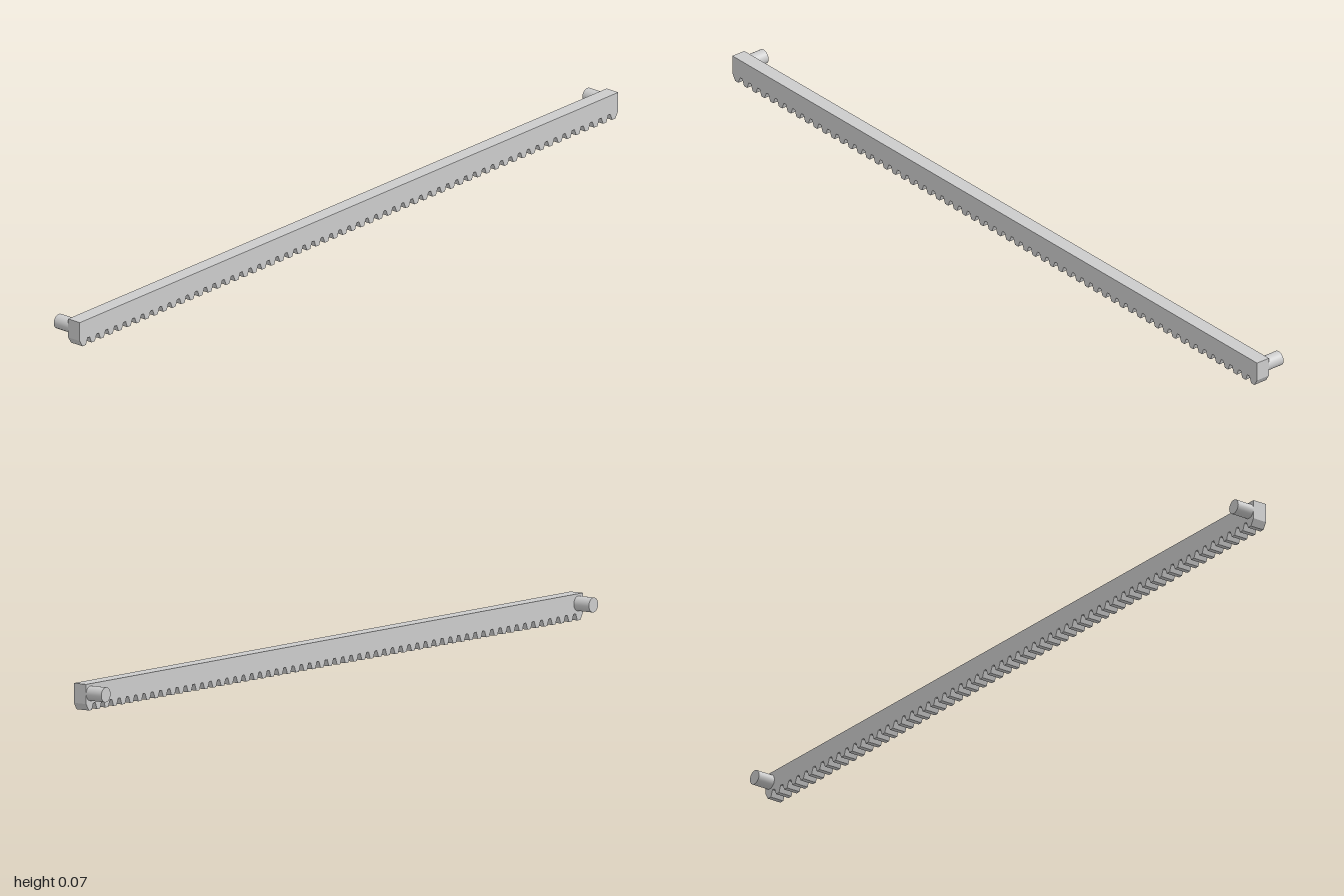
import * as THREE from 'three';

const TEETH = 60, PITCH = 2 / TEETH;
const TOP = 0.066, ROOT = 0.017;
const BACK = 0.005, FRONT = 0.043;
const PEG_R = 0.0185, PEG_Y = 0.042, PEG_END = -0.042;

export function createModel() {
  const group = new THREE.Group();
  const material = new THREE.MeshStandardMaterial({ color: 0xcccccc });

  // Toothed bar: side profile with trapezoid teeth along the underside
  const profile = new THREE.Shape();
  profile.moveTo(-1, TOP);
  profile.lineTo(-1, ROOT);
  for (let i = 0; i < TEETH; i++) {
    const x = -1 + i * PITCH;
    if (i > 0) profile.lineTo(x + PITCH * 0.12, ROOT);
    profile.lineTo(x + PITCH * 0.32, 0);
    profile.lineTo(x + PITCH * 0.68, 0);
    if (i < TEETH - 1) profile.lineTo(x + PITCH * 0.88, ROOT);
  }
  profile.lineTo(1, ROOT);
  profile.lineTo(1, TOP);
  const barGeometry = new THREE.ExtrudeGeometry(profile, { depth: FRONT - BACK, bevelEnabled: false });
  barGeometry.translate(0, 0, BACK);
  const bar = new THREE.Mesh(barGeometry, material);
  bar.name = 'rackBar';
  group.add(bar);

  // Round pegs on the back, flush with each end
  const length = BACK - PEG_END;
  const pegGeometry = new THREE.CylinderGeometry(PEG_R, PEG_R, length, 40);
  pegGeometry.rotateX(Math.PI / 2);
  for (const side of [-1, 1]) {
    const peg = new THREE.Mesh(pegGeometry, material);
    peg.name = side > 0 ? 'leftPeg' : 'rightPeg';
    peg.position.set(side * (1 - PEG_R), PEG_Y, PEG_END + length / 2);
    group.add(peg);
  }
  return group;
}
